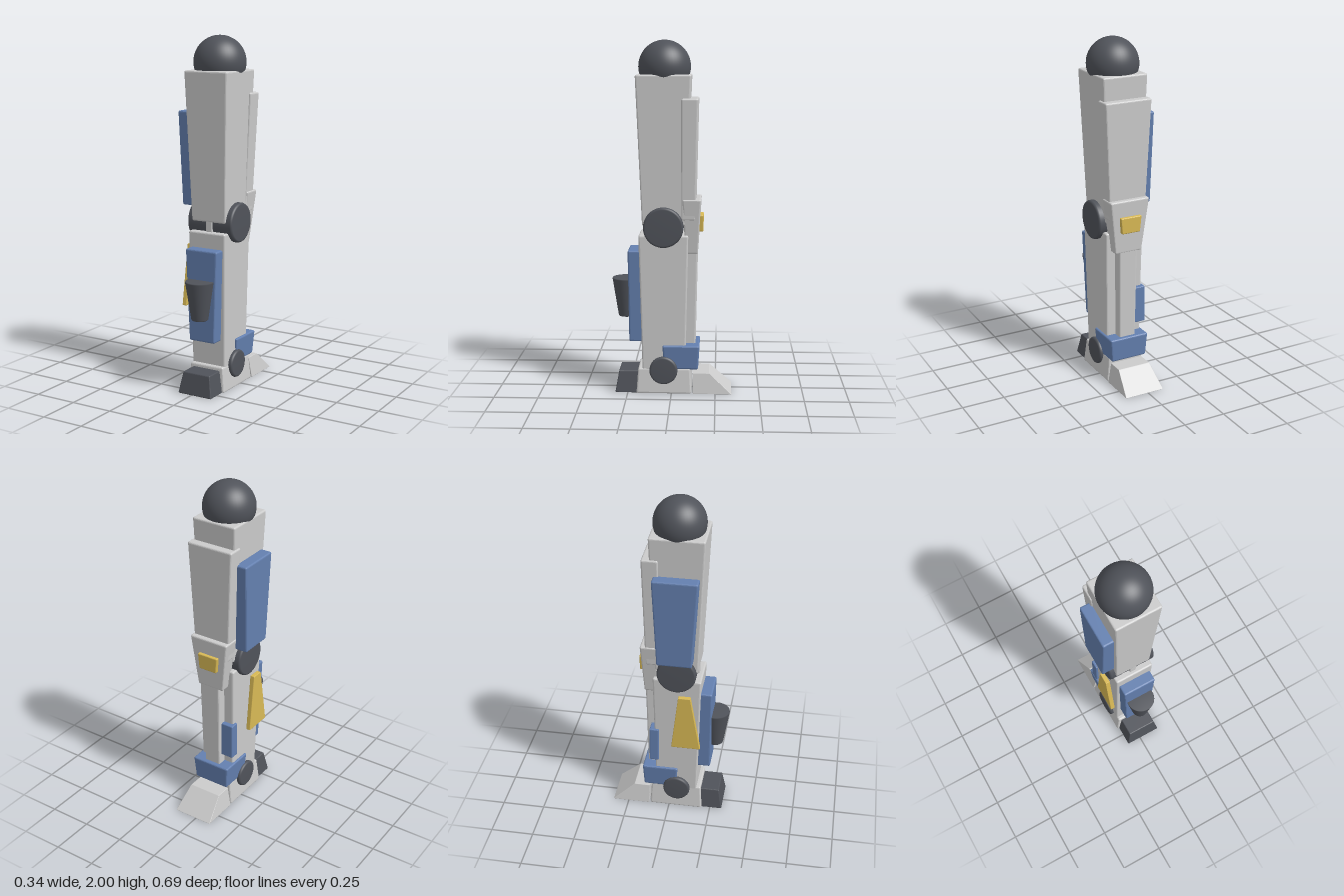
import * as THREE from 'three';
import { RoundedBoxGeometry } from 'three/addons/geometries/RoundedBoxGeometry.js';

const mat = (color) => new THREE.MeshStandardMaterial({ color });
const light = mat(0xcccccc);
const dark = mat(0x50535a);
const blue = mat(0x6480b0);
const yellow = mat(0xd8b955);
const MID_X = 0.022;
const lerp = THREE.MathUtils.lerp;

export function createModel() {
  const leg = new THREE.Group();
  leg.name = 'mechanicalLeg';

  function add(name, geometry, material, x = 0, y = 0, z = 0) {
    const mesh = new THREE.Mesh(geometry, material);
    mesh.name = name;
    mesh.position.set(x, y, z);
    leg.add(mesh);
    return mesh;
  }

  // Bevelled block whose bottom and top rectangles are [x0, x1, z0, z1]
  function block(name, material, y0, y1, bottom, top = bottom, bevel = 0.01) {
    const w = Math.max(bottom[1] - bottom[0], top[1] - top[0]);
    const d = Math.max(bottom[3] - bottom[2], top[3] - top[2]);
    const h = y1 - y0;
    const g = new RoundedBoxGeometry(w, h, d, 2, bevel);
    const p = g.attributes.position;
    for (let i = 0; i < p.count; i++) {
      const t = p.getY(i) / h + 0.5;
      const [x0, x1, z0, z1] = bottom.map((b, k) => lerp(b, top[k], t));
      p.setXYZ(i, lerp(x0, x1, p.getX(i) / w + 0.5), lerp(y0, y1, t), lerp(z0, z1, p.getZ(i) / d + 0.5));
    }
    g.computeVertexNormals();
    return add(name, g, material);
  }

  // Joint drum lying along x, with softened rims
  function drum(name, radius, x0, x1, y, z) {
    const half = (x1 - x0) / 2, b = 0.012;
    const profile = [
      [0, -half], [radius - b, -half], [radius - b * 0.3, -half + b * 0.3], [radius, -half + b],
      [radius, half - b], [radius - b * 0.3, half - b * 0.3], [radius - b, half], [0, half],
    ].map(([r, h]) => new THREE.Vector2(r, h));
    add(name, new THREE.LatheGeometry(profile, 48), dark, (x0 + x1) / 2, y, z).rotation.z = -Math.PI / 2;
  }

  // Hip ball and thigh
  add('hipBall', new THREE.SphereGeometry(0.147, 48, 32), dark, MID_X, 1.853, 0.042);
  block('thigh', light, 0.97, 1.81, [-0.088, 0.128, -0.08, 0.165], [-0.115, 0.158, -0.11, 0.2]);
  block('thighRearArmour', light, 1.0, 1.68, [-0.088, 0.132, -0.135, -0.055], [-0.12, 0.165, -0.15, -0.055]);
  block('thighSidePanel', blue, 1.05, 1.585, [-0.165, -0.08, -0.06, 0.14], [-0.173, -0.1, -0.085, 0.172]);

  // Knee
  drum('kneeJoint', 0.113, -0.123, 0.165, 0.962, 0.045);
  block('kneeStrut', light, 0.88, 1.0, [0.002, 0.042, 0.05, 0.163], undefined, 0.006);
  block('kneeGuard', light, 0.805, 1.12, [-0.06, 0.105, -0.148, -0.08], [-0.1, 0.145, -0.167, -0.06]);
  block('kneeBadgePlate', yellow, 0.93, 1.025, [-0.035, 0.078, -0.178, -0.14], [-0.044, 0.087, -0.18, -0.14], 0.006);

  // Shin with its plates
  block('shin', light, 0.12, 0.915, [-0.085, 0.126, -0.078, 0.165], [-0.098, 0.138, -0.095, 0.186]);
  block('shinRearRail', light, 0.2, 0.85, [-0.028, 0.072, -0.134, -0.06], [-0.035, 0.08, -0.148, -0.06]);
  block('shinRearPanel', blue, 0.34, 0.56, [-0.105, -0.01, -0.115, -0.06], undefined, 0.006);
  block('shinFrontPanel', blue, 0.295, 0.825, [-0.06, 0.103, 0.14, 0.242], [-0.08, 0.123, 0.15, 0.248]);
  block('shinSideFin', yellow, 0.475, 0.825, [-0.14, -0.113, 0.02, 0.19], [-0.14, -0.113, 0.06, 0.13], 0.004);

  // Thruster nozzle
  const nozzle = [[0, 0], [0.044, 0], [0.048, 0.005], [0.082, 0.218], [0.08, 0.224], [0, 0.224]]
    .map(([r, h]) => new THREE.Vector2(r, h));
  add('nozzle', new THREE.LatheGeometry(nozzle, 40), dark, MID_X, 0.43, 0.26);

  // Ankle
  block('ankleGuard', blue, 0.14, 0.28, [-0.09, 0.13, -0.152, 0.04], [-0.1, 0.142, -0.16, 0.052]);
  drum('ankleJoint', 0.08, -0.108, 0.15, 0.135, 0.045);

  // Foot
  block('foot', light, 0, 0.145, [-0.1, 0.143, -0.115, 0.2], [-0.084, 0.128, -0.108, 0.19]);
  block('heel', dark, 0, 0.125, [-0.087, 0.13, 0.19, 0.322], [-0.065, 0.108, 0.18, 0.3], 0.006);
  block('toe', light, 0, 0.118, [-0.1, 0.143, -0.345, -0.123], [-0.078, 0.122, -0.215, -0.12], 0.003);

  return leg;
}
